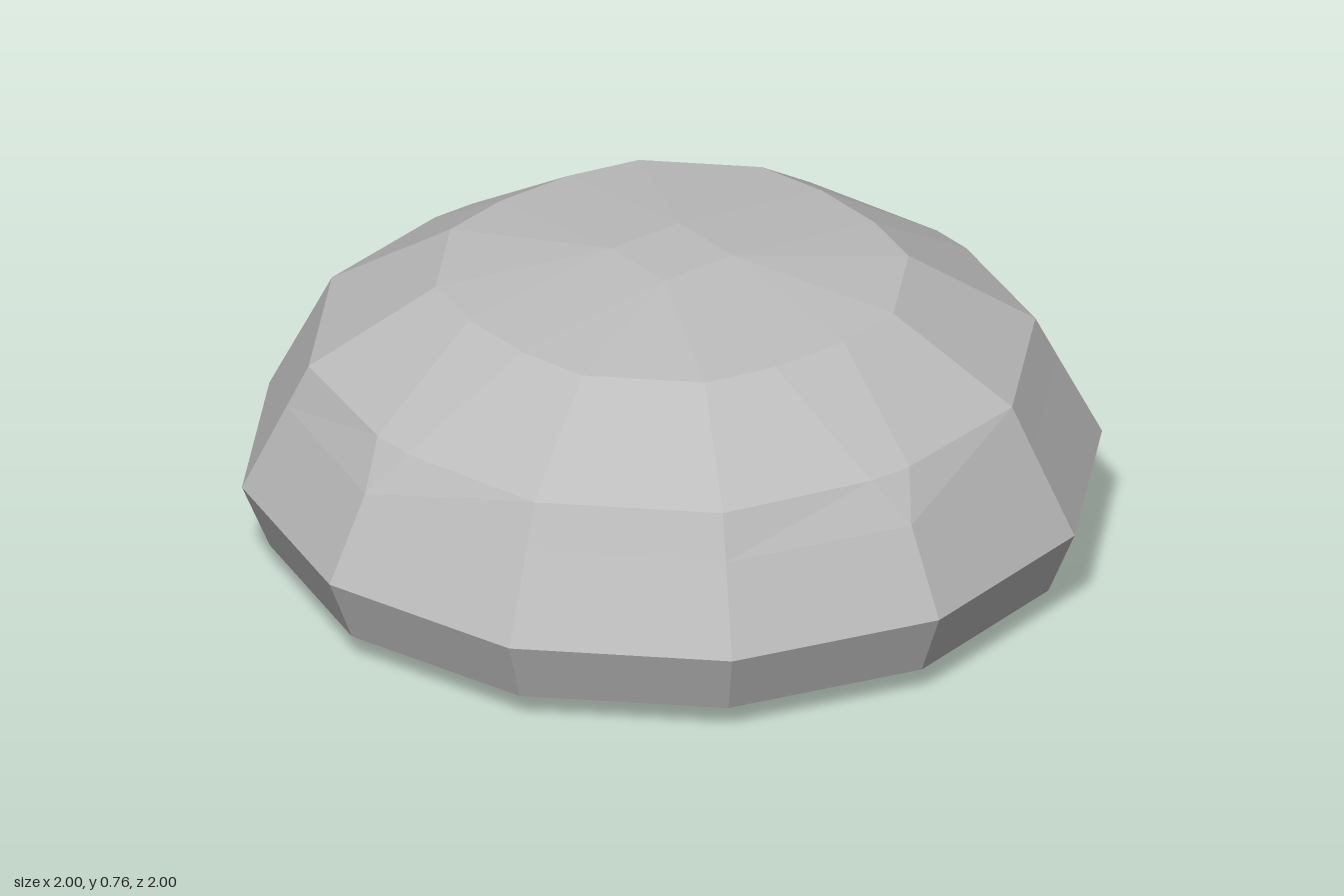
import * as THREE from 'three';

// Each ring: height, radius of the 30/60 degree corners, distance of the
// corners on the axes, and half width of the bevel across each axis.
const RINGS = [
  { y: 0, r: 0.75, axis: 0.75, w: 0 },
  { y: 0.06, r: 0.935, axis: 0.935, w: 0 },
  { y: 0.216, r: 1, axis: 1, w: 0 },
  { y: 0.42, r: 0.896, axis: 0.896, w: 0 },
  { y: 0.521, r: 0.845, axis: 0.817, w: 0.055 },
  { y: 0.706, r: 0.55, axis: 0.515, w: 0.1 },
];
const TOP_Y = 0.757;
const TOP_HALF = 0.1;

// Repeats four corner points of one quadrant around the y axis
function spin(points, y) {
  const ring = [];
  for (let q = 0; q < 4; q++) {
    const c = Math.round(Math.cos(q * Math.PI / 2)), s = Math.round(Math.sin(q * Math.PI / 2));
    for (const [x, z] of points) ring.push(new THREE.Vector3(x * c - z * s, y, x * s + z * c));
  }
  return ring;
}

function makeRing({ y, r, axis, w }) {
  const a = r * Math.cos(Math.PI / 6), b = r / 2;
  return spin([[axis, w], [a, b], [b, a], [w, axis]], y);
}

// Faceted skin through the rings; collapsed triangles are skipped
function loft(rings) {
  const pos = [];
  const tri = (a, b, c) => {
    const area = new THREE.Vector3().subVectors(b, a).cross(new THREE.Vector3().subVectors(c, a));
    if (area.length() > 1e-7) for (const p of [a, b, c]) pos.push(p.x, p.y, p.z);
  };
  const n = rings[0].length;
  for (let k = 0; k < rings.length - 1; k++) {
    for (let i = 0; i < n; i++) {
      const j = (i + 1) % n, lo = rings[k], hi = rings[k + 1];
      tri(lo[i], hi[i], lo[j]);
      tri(lo[j], hi[i], hi[j]);
    }
  }
  // Flat caps
  const first = rings[0], last = rings[rings.length - 1];
  const bottom = new THREE.Vector3(0, first[0].y, 0), top = new THREE.Vector3(0, last[0].y, 0);
  for (let i = 0; i < n; i++) {
    const j = (i + 1) % n;
    tri(bottom, first[i], first[j]);
    tri(top, last[j], last[i]);
  }
  const geo = new THREE.BufferGeometry();
  geo.setAttribute('position', new THREE.Float32BufferAttribute(pos, 3));
  geo.computeVertexNormals();
  return geo;
}

export function createModel() {
  const group = new THREE.Group();
  group.name = 'facetedDome';
  const grey = new THREE.MeshStandardMaterial({ color: 0xbcbcbc, flatShading: true });
  grey.name = 'grey';

  // Dome body, ending in a small square at the top
  const rings = RINGS.map(makeRing);
  rings.push(spin(Array(4).fill([TOP_HALF, TOP_HALF]), TOP_Y));
  const dome = new THREE.Mesh(loft(rings), grey);
  dome.name = 'dome';
  group.add(dome);
  return group;
}
